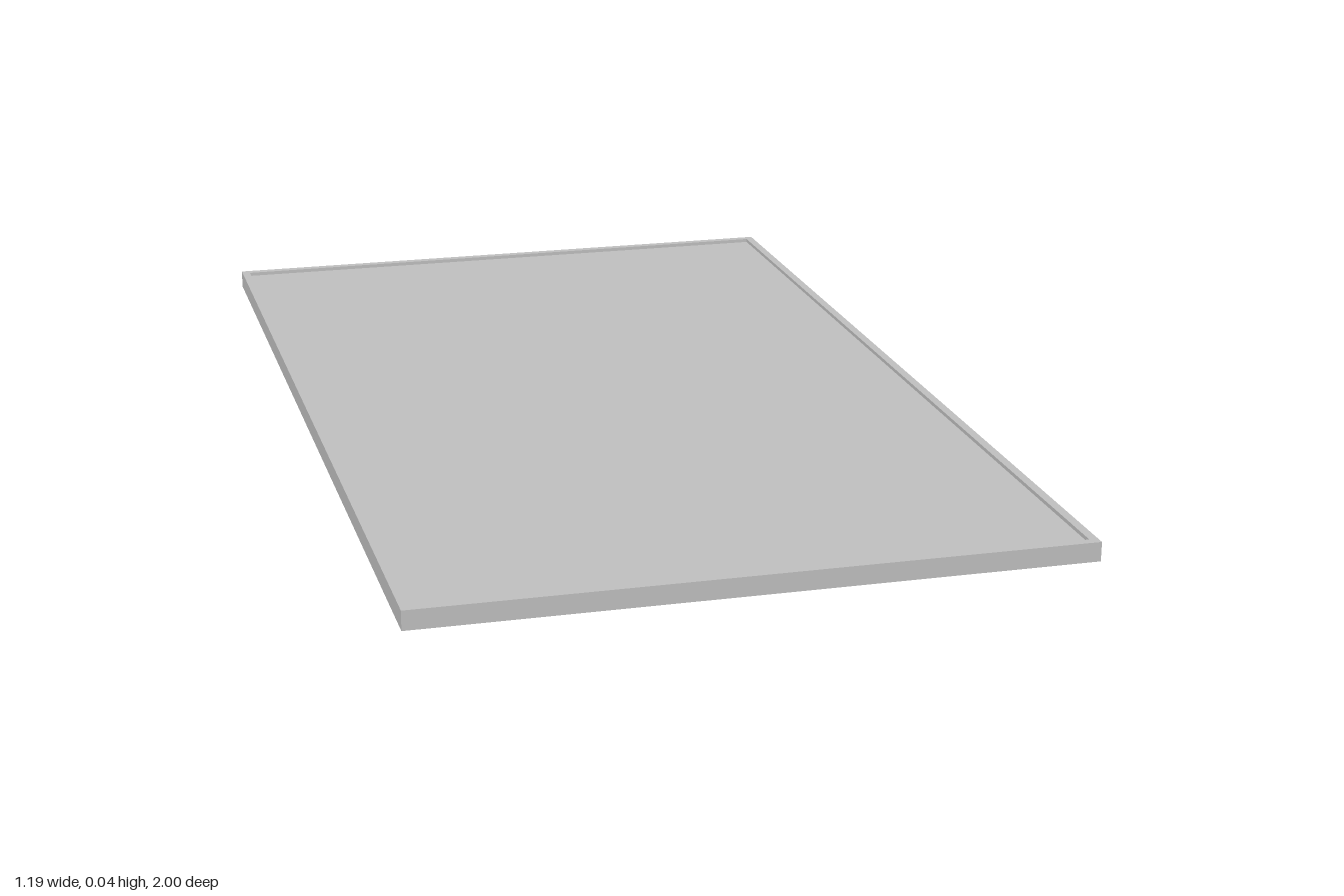
import * as THREE from 'three';

const grey = new THREE.MeshStandardMaterial({ color: 0xbebebe });
grey.name = 'aluminium grey';
const black = new THREE.MeshStandardMaterial({ color: 0x080808 });
black.name = 'cable black';

const W = 1.19, L = 2;

function add(parent, name, geometry, material, x = 0, y = 0, z = 0) {
  const mesh = new THREE.Mesh(geometry, material);
  mesh.name = name;
  mesh.position.set(x, y, z);
  parent.add(mesh);
  return mesh;
}

function rectangle(target, w, l) {
  target.moveTo(-w / 2, -l / 2);
  target.lineTo(w / 2, -l / 2);
  target.lineTo(w / 2, l / 2);
  target.lineTo(-w / 2, l / 2);
  target.closePath();
  return target;
}

// Flat rectangular ring, lying on the ground plane
function ring(border, height) {
  const shape = rectangle(new THREE.Shape(), W, L);
  shape.holes.push(rectangle(new THREE.Path(), W - 2 * border, L - 2 * border));
  return new THREE.ExtrudeGeometry(shape, { depth: height, bevelEnabled: false }).rotateX(-Math.PI / 2);
}

// Block with clipped corners, used for the junction boxes
function clippedBlock(w, l, h, c) {
  const a = w / 2, b = l / 2;
  const shape = new THREE.Shape([
    [-a + c, -b], [a - c, -b], [a, -b + c], [a, b - c],
    [a - c, b], [-a + c, b], [-a, b - c], [-a, -b + c],
  ].map(([x, y]) => new THREE.Vector2(x, y)));
  return new THREE.ExtrudeGeometry(shape, { depth: h, bevelEnabled: false }).rotateX(-Math.PI / 2);
}

// Cable through [x, y, z] points
function cable(points) {
  const curve = new THREE.CatmullRomCurve3(points.map(p => new THREE.Vector3(...p)));
  return new THREE.TubeGeometry(curve, 120, 0.0045, 8);
}

export function createModel() {
  const model = new THREE.Group();
  model.name = 'solarPanel';

  // Frame: upright walls and inward flange underneath
  const frame = new THREE.Group();
  frame.name = 'frame';
  model.add(frame);
  add(frame, 'frameWalls', ring(0.016, 0.035), grey, 0, 0.005, 0);
  add(frame, 'bottomFlange', ring(0.04, 0.003), grey, 0, 0.005, 0);

  // Recessed panel sheet
  add(model, 'panelSheet', new THREE.BoxGeometry(W - 0.03, 0.007, L - 0.03), grey, 0, 0.0295, 0);

  // Three junction boxes across the middle of the underside
  for (const x of [-0.46, 0, 0.46]) {
    const box = new THREE.Group();
    box.name = 'junctionBox';
    box.position.set(x, 0, 0);
    model.add(box);
    add(box, 'boxBody', clippedBlock(0.045, 0.06, 0.012, 0.008), black, 0, 0.014, 0);
    add(box, 'boxLid', clippedBlock(0.035, 0.05, 0.003, 0.007), black, 0, 0.011, 0);
  }

  // Loose cables winding toward the front edge
  add(model, 'leftCable', cable([
    [0.46, 0.018, 0.02], [0.47, 0.014, 0.07], [0.45, 0.009, 0.21], [0.42, 0.008, 0.32],
    [0.36, 0.008, 0.395], [0.30, 0.008, 0.435], [0.25, 0.009, 0.475], [0.23, 0.009, 0.535],
    [0.27, 0.009, 0.58], [0.35, 0.009, 0.605], [0.40, 0.009, 0.645], [0.385, 0.009, 0.70],
    [0.315, 0.009, 0.765], [0.275, 0.008, 0.84],
  ]), black);
  add(model, 'rightCable', cable([
    [-0.46, 0.018, 0.02], [-0.42, 0.012, 0.10], [-0.345, 0.007, 0.135], [-0.275, 0.005, 0.18],
    [-0.27, 0.0045, 0.26], [-0.34, 0.005, 0.34], [-0.43, 0.008, 0.38], [-0.49, 0.009, 0.44],
    [-0.505, 0.009, 0.565], [-0.425, 0.009, 0.635], [-0.325, 0.009, 0.70], [-0.285, 0.009, 0.79],
    [-0.275, 0.008, 0.86],
  ]), black);

  // Plug on the end of each cable: thick sleeve, collar and thin tip
  for (const [name, x, z] of [['leftPlug', 0.27, 0.86], ['rightPlug', -0.275, 0.88]]) {
    const plug = new THREE.Group();
    plug.name = name;
    plug.position.set(x, 0.0095, z);
    model.add(plug);
    for (const [part, r, len, dz] of [['sleeve', 0.0085, 0.05, -0.012], ['collar', 0.0095, 0.012, 0.002], ['tip', 0.005, 0.04, 0.03]]) {
      add(plug, part, new THREE.CylinderGeometry(r, r, len, 12).rotateX(Math.PI / 2), black, 0, 0, dz);
    }
  }

  return model;
}
